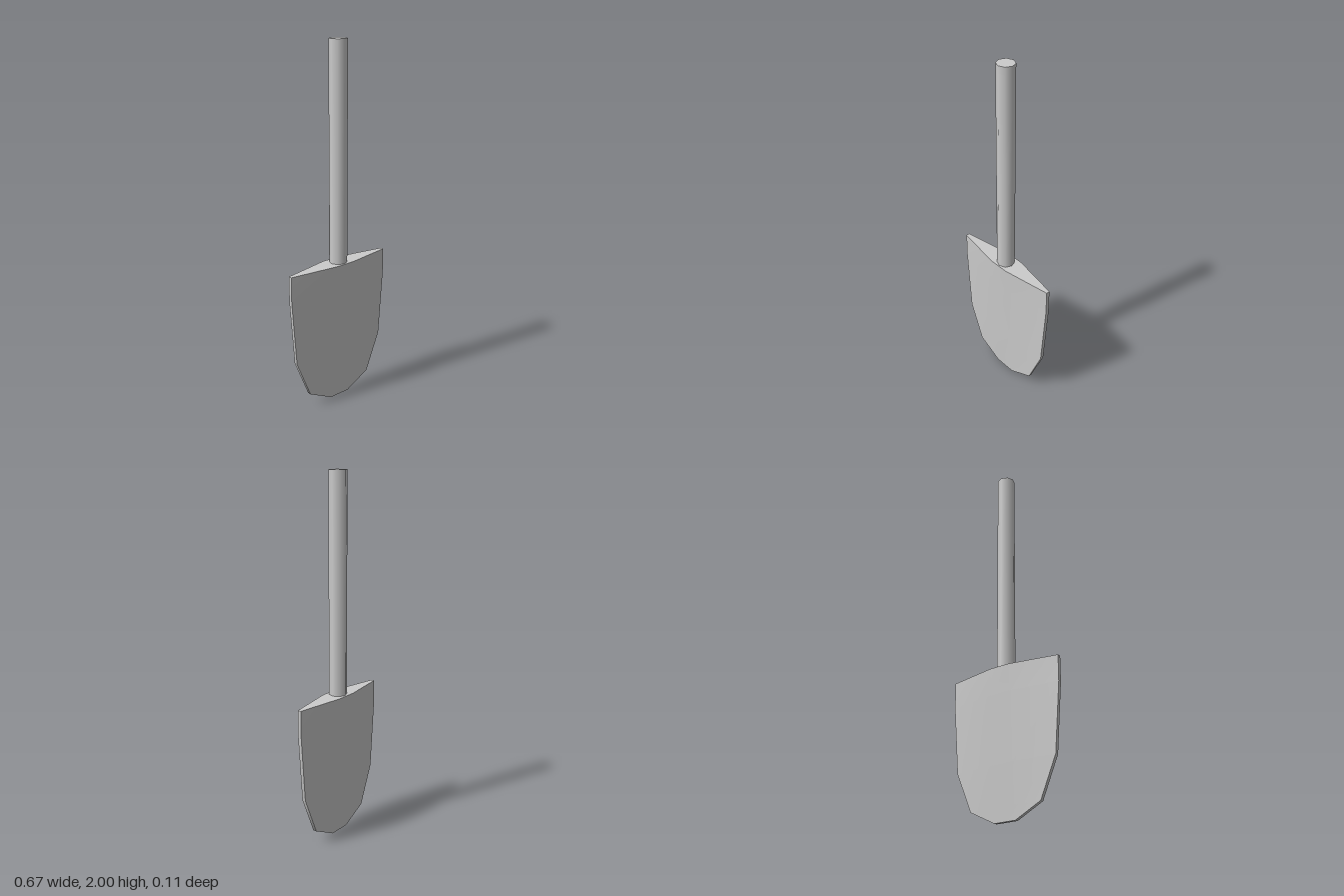
import * as THREE from 'three';
import { toCreasedNormals } from 'three/addons/utils/BufferGeometryUtils.js';

const material = new THREE.MeshStandardMaterial({ color: 0xcccccc });

// Blade: stacked eight-point sections, thick in the middle and thin at the sides
function bladeGeometry() {
  const rows = [[0.802, 0.336], [0.66, 0.336], [0.29, 0.307], [0.075, 0.215], [0, 0.064]]; // height, half width
  const inner = 0.06, edge = 0.01;
  const positions = [], index = [];
  const quad = (a, b, c, d) => index.push(a, b, c, a, c, d);

  rows.forEach(([y, w], r) => {
    const t = 0.01 + 0.047 * (y / 0.802);
    const yMid = r === 0 ? y + 0.004 : y; // slight rise along the top edge
    positions.push(
      w, y, edge, inner, yMid, t, -inner, yMid, t, -w, y, edge,
      -w, y, -edge, -inner, yMid, -t, inner, yMid, -t, w, y, -edge);
  });

  // Faces and rim
  for (let r = 0; r < rows.length - 1; r++) {
    for (let j = 0; j < 8; j++) {
      const a = r * 8 + j, b = r * 8 + (j + 1) % 8;
      quad(a, b, b + 8, a + 8);
    }
  }

  // Top and bottom caps
  const last = (rows.length - 1) * 8;
  for (let j = 0; j < 3; j++) {
    quad(j, 7 - j, 6 - j, j + 1);
    quad(last + j, last + j + 1, last + 6 - j, last + 7 - j);
  }

  const geometry = new THREE.BufferGeometry();
  geometry.setAttribute('position', new THREE.Float32BufferAttribute(positions, 3));
  geometry.setIndex(index);
  return toCreasedNormals(geometry, 0.75);
}

export function createModel() {
  const group = new THREE.Group();
  group.name = 'shovel';

  const blade = new THREE.Mesh(bladeGeometry(), material);
  blade.name = 'blade';

  // Eight-sided handle, set into the top of the blade
  const handle = new THREE.Mesh(new THREE.CylinderGeometry(0.049, 0.049, 1.2, 8), material);
  handle.name = 'handle';
  handle.position.set(-0.001, 1.4, 0.002);

  group.add(blade, handle);
  return group;
}
